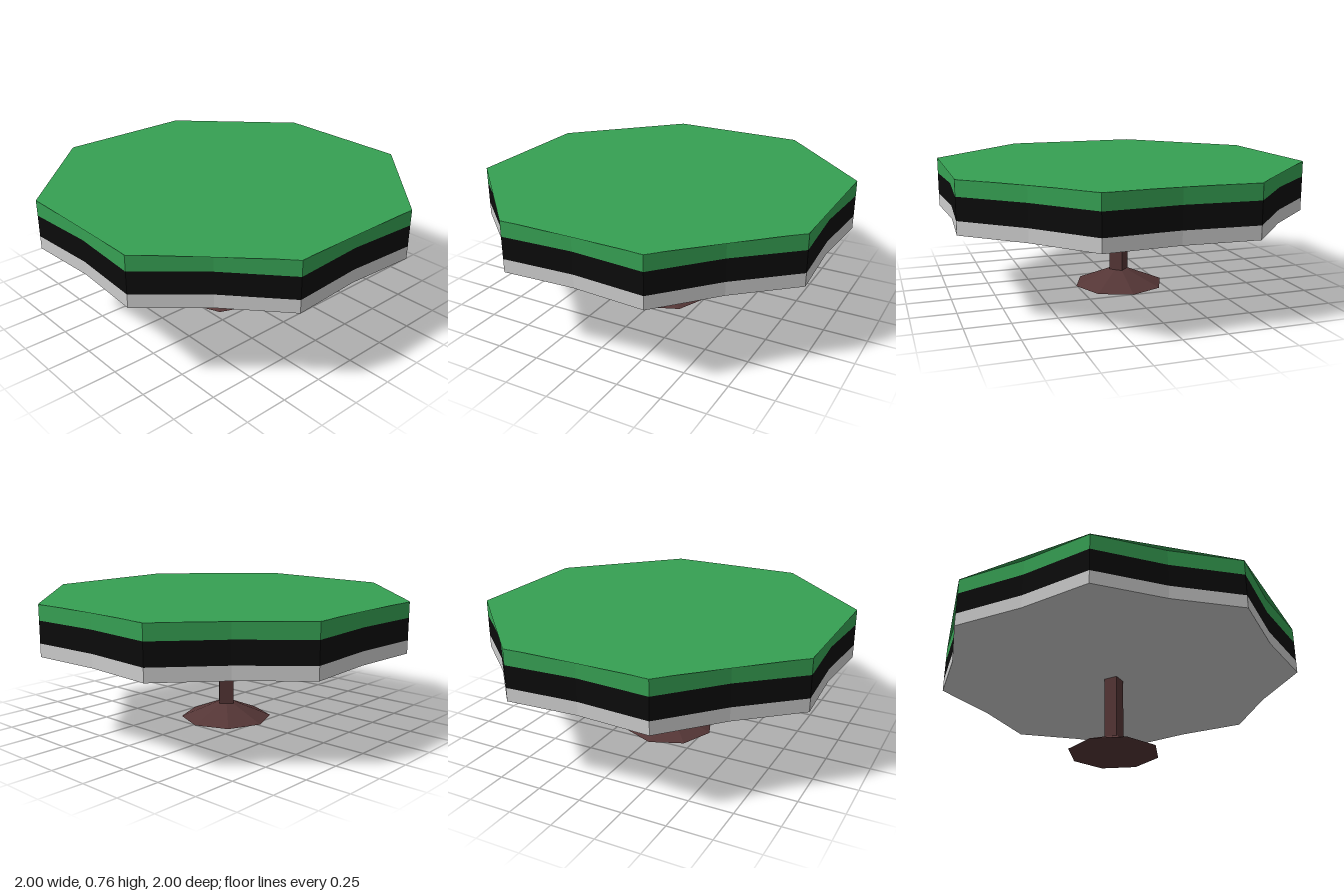
import * as THREE from 'three';

const material = (color) => new THREE.MeshStandardMaterial({ color, flatShading: true, side: THREE.DoubleSide });

// Octagon with flat sides at distance 1; the middle of each side lies at distance `mid`.
function octagon(mid) {
  const points = [];
  for (let i = 0; i < 16; i++) {
    const a = (i * Math.PI) / 8;
    const r = i % 2 ? 1 / Math.cos(Math.PI / 8) : mid;
    points.push(new THREE.Vector2(r * Math.cos(a), r * Math.sin(a)));
  }
  return new THREE.Shape(points);
}

export function createModel() {
  const group = new THREE.Group();
  const add = (name, geometry, mat, x, y, z) => {
    const mesh = new THREE.Mesh(geometry, mat);
    mesh.name = name;
    mesh.position.set(x, y, z);
    group.add(mesh);
  };

  const green = material(0x36a053);
  const brown = material(0x553636);

  // Stacked slabs whose sides bow slightly inward
  const slabs = [
    ['lowerSlab', 0.47, 0.545, material(0xcccccc)],
    ['middleBand', 0.545, 0.67, material(0x0b0b0b)],
    ['upperSlab', 0.67, 0.757, green],
  ];
  for (const [name, y0, y1, mat] of slabs) {
    const geometry = new THREE.ExtrudeGeometry(octagon(0.975), { depth: y1 - y0, bevelEnabled: false });
    geometry.rotateX(-Math.PI / 2);
    add(name, geometry, mat, 0, y0, 0);
  }

  // Straight-sided top sheet, overhanging the bowed sides
  const top = new THREE.ShapeGeometry(octagon(1));
  top.rotateX(-Math.PI / 2);
  add('tableTop', top, green, 0, 0.76, 0);

  // Square post on a flared eight-sided foot, slightly off centre
  add('post', new THREE.CylinderGeometry(0.058, 0.058, 0.39, 4), brown, -0.015, 0.275, 0.016);
  add('foot', new THREE.CylinderGeometry(0.058, 0.27, 0.088, 8), brown, -0.015, 0.044, 0.016);

  return group;
}
